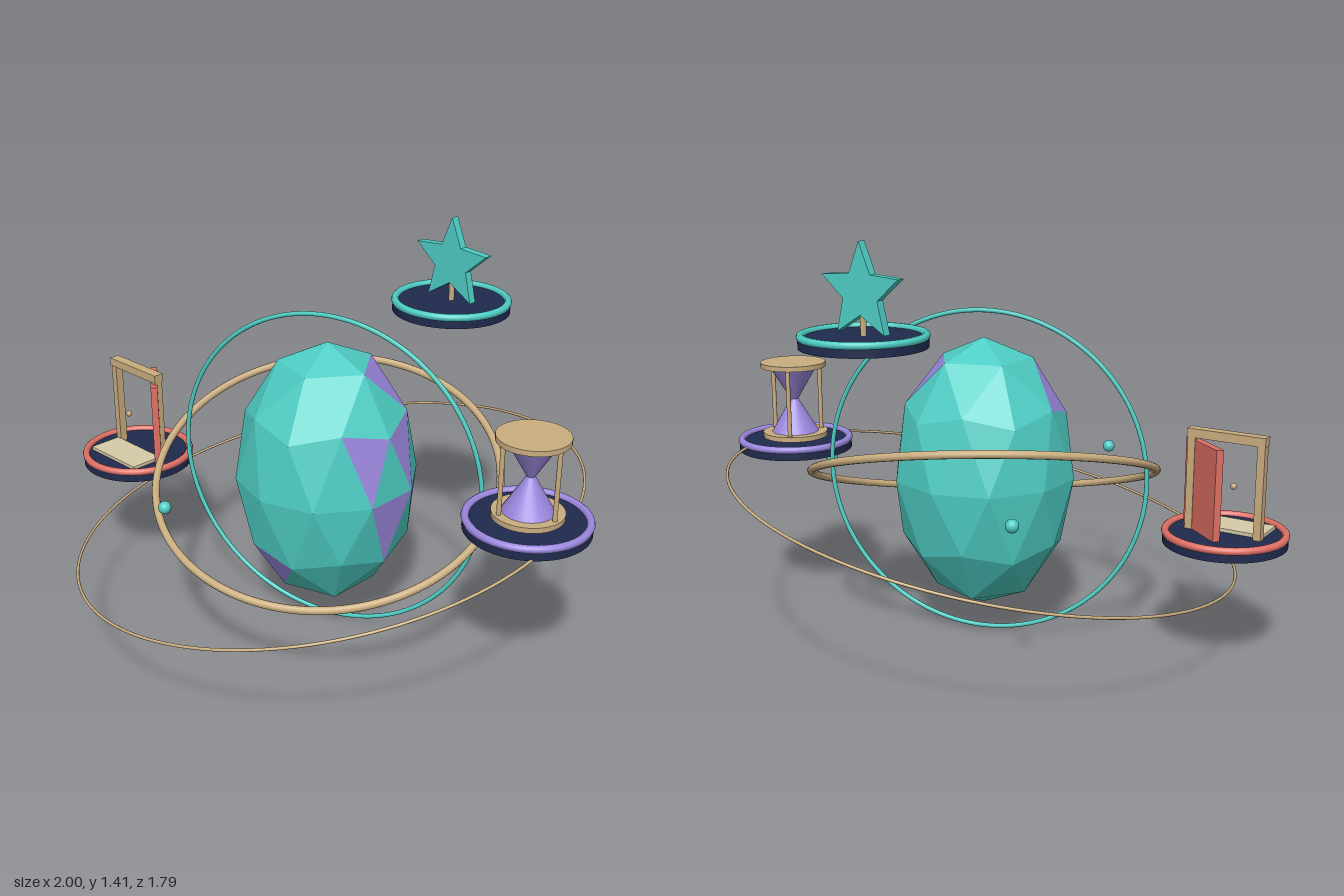
import * as THREE from 'three';

const mat = (name, color, extra = {}) => {
  const m = new THREE.MeshStandardMaterial({ color, ...extra });
  m.name = name;
  return m;
};

export function createModel() {
  const teal = mat('teal', 0x4ecdc4);
  const facetTeal = teal;
  const violet = mat('violet', 0x9b87de);
  const navy = mat('navy', 0x1f2a4d);
  const gold = mat('gold', 0xc9ad7f);
  const coral = mat('coral', 0xe07065);
  const parchment = mat('parchment', 0xd6cba8);

  const model = new THREE.Group();
  model.name = 'orbitingIslands';

  const add = (parent, name, geometry, material, x = 0, y = 0, z = 0) => {
    const mesh = new THREE.Mesh(geometry, material);
    mesh.name = name;
    mesh.position.set(x, y, z);
    parent.add(mesh);
    return mesh;
  };
  const box = (w, h, d) => new THREE.BoxGeometry(w, h, d);
  const rod = (r, h, n = 32) => new THREE.CylinderGeometry(r, r, h, n);

  // Faceted core: an icosphere with a vertex at each pole, stretched upward
  const core = new THREE.IcosahedronGeometry(1, 1);
  core.rotateZ(-Math.atan2(1, (1 + Math.sqrt(5)) / 2));
  const p = core.attributes.position;
  const centres = [];
  for (let i = 0; i < p.count; i += 3) {
    const c = new THREE.Vector3();
    for (let k = 0; k < 3; k++) c.add(new THREE.Vector3().fromBufferAttribute(p, i + k));
    centres.push(c.normalize());
  }
  // Directions of the violet facets
  const violetFaces = new Set([
    [0.844, 0.324, 0.27], [0.459, 0.742, -0.333], [0.844, 0.324, -0.27], [0.918, -0.175, 0],
    [0.754, -0.149, -0.548], [-0.059, -0.608, 0.72], [-0.667, 0.608, 0.278], [-0.754, 0.149, 0.548],
  ].map((d) => {
    const v = new THREE.Vector3(...d);
    let best = 0;
    centres.forEach((c, i) => { if (c.dot(v) > centres[best].dot(v)) best = i; });
    return best;
  }));
  core.clearGroups();
  centres.forEach((c, i) => core.addGroup(i * 3, 3, violetFaces.has(i) ? 1 : 0));
  core.scale(0.32, 0.48, 0.32);
  core.computeVertexNormals(); // unshared corners give flat facets
  add(model, 'core', core, [facetTeal, violet], 0.03, 0.58, 0);

  // Orbit rings, each given by the normal of its plane
  const ring = (name, radius, tube, material, y, normal) => {
    const mesh = add(model, name, new THREE.TorusGeometry(radius, tube, 10, 128), material, 0.03, y, 0);
    mesh.quaternion.setFromUnitVectors(new THREE.Vector3(0, 0, 1), new THREE.Vector3(...normal).normalize());
  };
  ring('uprightRing', 0.572, 0.008, teal, 0.58, [Math.sin(0.3), 0, Math.cos(0.3)]);
  ring('innerRing', 0.6, 0.0135, gold, 0.58, [0.21, 1, 0.32]);
  ring('outerRing', 0.897, 0.005, gold, 0.445, [-0.174, 1, 0.117]);

  // Small orbiting beads
  [[-0.37, -0.455], [-0.163, 0.567], [0.62, -0.12]].forEach(([x, z], i) =>
    add(model, `bead${i + 1}`, new THREE.SphereGeometry(0.022, 16, 12), teal, x, 0.58, z));

  // Floating round island with a coloured rim; y = 0 is its underside
  const island = (name, x, y, z, rimMaterial) => {
    const g = new THREE.Group();
    g.name = name;
    g.position.set(x, y, z);
    add(g, 'base', rod(0.206, 0.035, 48), navy, 0, 0.0175, 0);
    add(g, 'rim', new THREE.TorusGeometry(0.197, 0.013, 10, 64).rotateX(Math.PI / 2), rimMaterial, 0, 0.036, 0);
    model.add(g);
    return g;
  };

  // Star island
  const starIsland = island('starIsland', 0.158, 1.085, -0.49, teal);
  const points = [];
  for (let i = 0; i < 10; i++) {
    const r = i % 2 ? 0.071 : 0.158;
    const a = Math.PI / 2 + (i * Math.PI) / 5;
    points.push(new THREE.Vector2(r * Math.cos(a), r * Math.sin(a)));
  }
  const starGeometry = new THREE.ExtrudeGeometry(new THREE.Shape(points), { depth: 0.03, bevelEnabled: false });
  add(starIsland, 'star', starGeometry.translate(0, 0, -0.015), teal, 0, 0.172, 0);
  add(starIsland, 'starPost', rod(0.01, 0.1, 12), gold, 0, 0.085, 0);

  // Hourglass island
  const glassIsland = island('hourglassIsland', 0.784, 0.595, -0.13, violet);
  add(glassIsland, 'lowerPlate', rod(0.118, 0.018), gold, 0, 0.055, 0);
  add(glassIsland, 'upperPlate', rod(0.118, 0.018), gold, 0, 0.315, 0);
  for (let i = 0; i < 3; i++) {
    const a = (i * Math.PI * 2) / 3;
    add(glassIsland, `post${i + 1}`, rod(0.008, 0.25, 10), gold, 0.1 * Math.cos(a), 0.185, 0.1 * Math.sin(a));
  }
  // Two straight cones meeting at a narrow neck
  add(glassIsland, 'lowerBulb', new THREE.CylinderGeometry(0.014, 0.086, 0.122, 24), violet, 0, 0.124, 0);
  add(glassIsland, 'upperBulb', new THREE.CylinderGeometry(0.086, 0.014, 0.122, 24), violet, 0, 0.246, 0);

  // Doorway island
  const doorIsland = island('doorIsland', -0.794, 0.42, 0.195, coral);
  for (const s of [-1, 1]) {
    add(doorIsland, s < 0 ? 'rightDoorPost' : 'leftDoorPost', box(0.026, 0.325, 0.03), gold, s * 0.12, 0.195, -0.015);
  }
  add(doorIsland, 'lintel', box(0.27, 0.03, 0.038), gold, 0, 0.364, -0.015);
  const door = add(doorIsland, 'door', box(0.205, 0.305, 0.025), coral, 0.066, 0.188, -0.045);
  door.rotation.y = -0.67;
  add(doorIsland, 'doorKnob', new THREE.SphereGeometry(0.011, 12, 8), gold, -0.013, 0.19, 0.022);
  add(doorIsland, 'doorMat', box(0.257, 0.012, 0.125), parchment, 0, 0.041, 0.06);

  return model;
}
